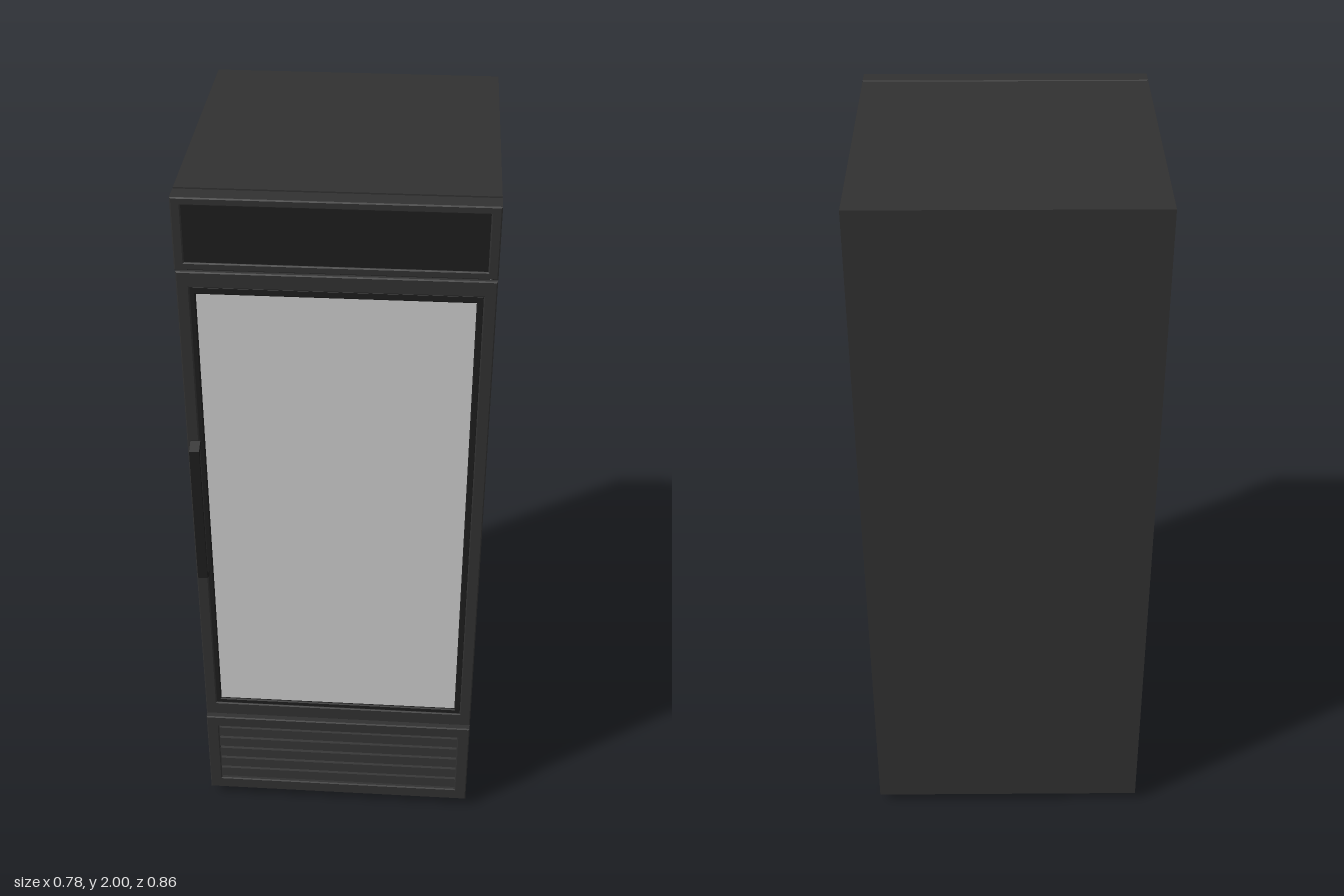
import * as THREE from 'three';

const mat = (name, color) => Object.assign(new THREE.MeshStandardMaterial({ color }), { name });

export function createModel() {
  const black = mat('black cabinet', 0x303030);
  const dark = mat('dark trim', 0x1c1c1c);
  const glass = mat('pale glass', 0xc9c9c9);
  const metal = mat('hinge metal', 0xb5b5b5);

  const model = new THREE.Group();
  model.name = 'displayFridge';

  const add = (name, geometry, material, parent = model) => {
    const mesh = new THREE.Mesh(geometry, material);
    mesh.name = name;
    parent.add(mesh);
    return mesh;
  };
  // Box given by its limits on each axis
  const box = (name, x0, x1, y0, y1, z0, z1, material, parent) =>
    add(name, new THREE.BoxGeometry(x1 - x0, y1 - y0, z1 - z0)
      .translate((x0 + x1) / 2, (y0 + y1) / 2, (z0 + z1) / 2), material, parent);
  const rect = (path, x0, x1, y0, y1) =>
    path.moveTo(x0, y0).lineTo(x1, y0).lineTo(x1, y1).lineTo(x0, y1).closePath();
  // Rectangular frame: outer and inner limits, with a small bevel
  const frame = (name, o, i, z0, z1, material, parent, b = 0.003) => {
    const shape = new THREE.Shape();
    const hole = new THREE.Path();
    rect(shape, o[0] + b, o[1] - b, o[2] + b, o[3] - b);
    rect(hole, i[0] - b, i[1] + b, i[2] - b, i[3] + b);
    shape.holes.push(hole);
    const g = new THREE.ExtrudeGeometry(shape, {
      depth: z1 - z0 - 2 * b, bevelThickness: b, bevelSize: b, bevelSegments: 1,
    });
    return add(name, g.translate(0, 0, z0 + b), material, parent);
  };

  // Cabinet with the seam behind the front panels
  box('cabinet', -0.39, 0.39, 0.03, 2, -0.43, 0.352, black);
  box('headerSeam', -0.386, 0.386, 1.812, 1.996, 0.352, 0.357, dark);
  box('grilleSeam', -0.386, 0.386, 0.034, 0.322, 0.352, 0.357, dark);

  // Header with its recessed sign panel
  const header = new THREE.Group();
  header.name = 'header';
  model.add(header);
  frame('headerFrame', [-0.39, 0.39, 1.81, 2], [-0.365, 0.365, 1.83, 1.98], 0.357, 0.41, black, header);
  box('signPanel', -0.367, 0.367, 1.828, 1.982, 0.36, 0.406, dark, header);

  // Door: gasket, frame, inner trim and glass
  const door = new THREE.Group();
  door.name = 'door';
  model.add(door);
  box('gasket', -0.375, 0.375, 0.36, 1.77, 0.352, 0.363, dark, door);
  frame('doorFrame', [-0.39, 0.39, 0.33, 1.8], [-0.358, 0.358, 0.375, 1.757], 0.363, 0.4, black, door);
  frame('glassTrim', [-0.36, 0.36, 0.373, 1.759], [-0.344, 0.342, 0.39, 1.738], 0.365, 0.397, dark, door);
  box('glassPane', -0.347, 0.345, 0.387, 1.741, 0.382, 0.391, glass, door);

  // Handle: one bent strip with splayed ends
  const strip = new THREE.Shape([
    [0.395, 0.858], [0.402, 0.858], [0.431, 0.873], [0.431, 1.293], [0.402, 1.308], [0.395, 1.308],
    [0.395, 1.296], [0.42, 1.284], [0.42, 0.882], [0.395, 0.87],
  ].map(([z, y]) => new THREE.Vector2(z, y)));
  const handle = new THREE.ExtrudeGeometry(strip, { depth: 0.026, bevelEnabled: false });
  add('handle', handle.rotateY(-Math.PI / 2).translate(-0.355, 0, 0), dark, door);

  // Grille panel with sloping louvres over a dark opening
  const grille = new THREE.Group();
  grille.name = 'grille';
  model.add(grille);
  frame('grilleFrame', [-0.39, 0.39, 0.03, 0.325], [-0.355, 0.355, 0.07, 0.287], 0.357, 0.41, black, grille);
  box('grilleOpening', -0.358, 0.358, 0.067, 0.29, 0.36, 0.394, dark, grille);
  const slat = new THREE.Shape([[0.39, 0], [0.408, 0.003], [0.403, 0.031], [0.39, 0.034]]
    .map(([z, y]) => new THREE.Vector2(z, y)));
  for (let k = 0; k < 5; k++) {
    const g = new THREE.ExtrudeGeometry(slat, { depth: 0.71, bevelEnabled: false });
    add('louvre', g.rotateY(-Math.PI / 2).translate(0.355, 0.076 + k * 0.042, 0), black, grille);
  }

  // Hinge pins above and below the door
  for (const y of [0.3275, 1.805]) {
    const pin = add('hingePin', new THREE.CylinderGeometry(0.007, 0.007, 0.016, 12), metal);
    pin.position.set(0.372, y, 0.382);
  }

  // Feet
  for (const x of [-0.35, 0.35]) for (const z of [-0.39, 0.303]) {
    const foot = add('foot', new THREE.CylinderGeometry(0.017, 0.014, 0.032, 16), dark);
    foot.position.set(x, 0.016, z);
  }
  return model;
}
